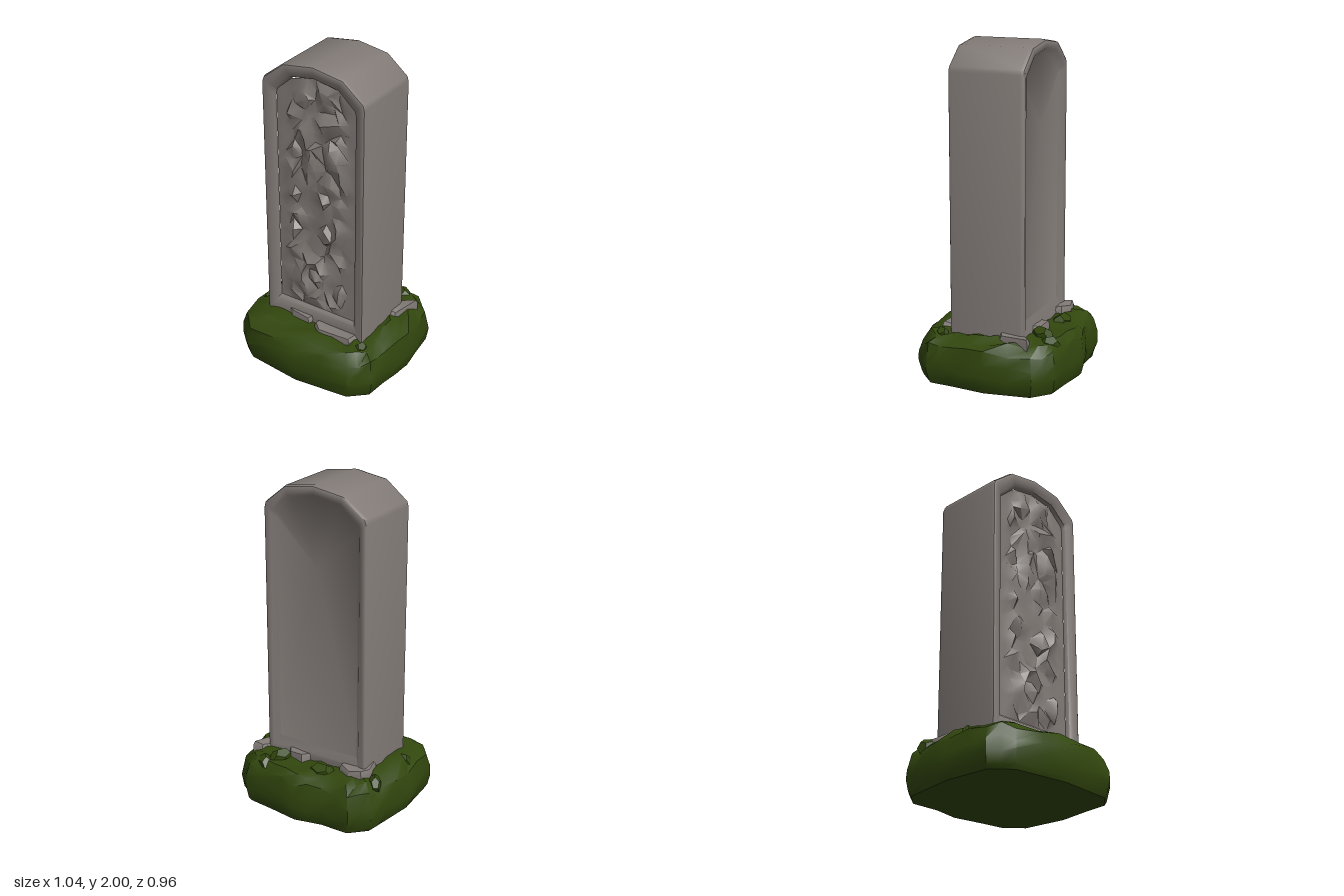
import * as THREE from 'three';
import { toCreasedNormals } from 'three/addons/utils/BufferGeometryUtils.js';

const stone = new THREE.MeshStandardMaterial({ color: 0x827b77 });
stone.name = 'weathered stone';
const moss = new THREE.MeshStandardMaterial({ color: 0x32470e });
moss.name = 'dark moss';

// Small seeded random, -1..1
function seeded(seed) {
  return () => {
    seed = (seed * 16807) % 2147483647;
    return (seed / 2147483647) * 2 - 1;
  };
}

function finish(points, index, crease) {
  const geo = new THREE.BufferGeometry();
  geo.setAttribute('position', new THREE.Float32BufferAttribute(points.flat(), 3));
  geo.setIndex(index);
  return toCreasedNormals(geo, crease);
}

// Skin a list of equal-length rings, ordered from the near end to the far end
function loft(rings, crease, capStart, capEnd) {
  const n = rings[0].length;
  const points = rings.flat();
  const index = [];
  for (let r = 0; r < rings.length - 1; r++) {
    for (let i = 0; i < n; i++) {
      const a = r * n + i, b = r * n + (i + 1) % n;
      index.push(a, a + n, b, b, a + n, b + n);
    }
  }
  const cap = (r, flip) => {
    const c = points.length;
    points.push([0, 1, 2].map(k => rings[r].reduce((s, p) => s + p[k], 0) / n));
    for (let i = 0; i < n; i++) {
      const a = r * n + i, b = r * n + (i + 1) % n;
      index.push(c, flip ? b : a, flip ? a : b);
    }
  };
  if (capStart) cap(0, false);
  if (capEnd) cap(rings.length - 1, true);
  return finish(points, index, crease);
}

// Arched outline, narrowed by t toward the sunken panel (t = 1)
const arch = [[-0.34, 1.86], [-0.2, 1.97], [0, 2], [0.2, 1.97], [0.335, 1.86]];
const outline = [[-0.35, 0.25], [0.343, 0.25], [0.343, 1.83], ...arch.slice().reverse(), [-0.35, 1.83]];
const inset = ([x, y], t) => [
  THREE.MathUtils.lerp(x, x * 0.78, t),
  THREE.MathUtils.lerp(y, 0.39 + (y - 0.25) * 0.87, t),
];

function slabGeometry() {
  const steps = [[1, 0.2], [0.88, 0.222], [0.55, 0.232], [0.2, 0.24], [0.07, 0.235], [0, 0.215],
    [0, -0.2], [0.07, -0.222], [0.2, -0.228], [0.6, -0.222], [0.95, -0.195]];
  const rings = steps.map(([t, z]) => outline.map(p => [...inset(p, t), z]));
  return loft(rings, 0.8, false, true);
}

// Height of the panel's arched top at a given x
function panelTop(x) {
  const pts = arch.map(p => inset(p, 1));
  for (let i = 0; i < pts.length - 1; i++) {
    const [a, b] = [pts[i], pts[i + 1]];
    if (x <= b[0]) return THREE.MathUtils.mapLinear(x, a[0], b[0], a[1], b[1]);
  }
  return pts[4][1];
}

// Broken carving: a jittered grid with raised and sunken pieces
function carvingGeometry() {
  const rnd = seeded(4711), cols = 10, rows = 24;
  const points = [], index = [];
  for (let j = 0; j <= rows; j++) {
    for (let i = 0; i <= cols; i++) {
      const rim = i === 0 || j === 0 || i === cols || j === rows;
      const jx = rnd() * 0.018, jy = rnd() * 0.02, lift = rnd();
      const x = -0.272 + 0.539 * i / cols + (rim ? 0 : jx);
      const top = panelTop(x);
      const y = 0.39 + (top - 0.39) * j / rows + (rim ? 0 : jy);
      const carved = !rim && i > 1 && i < cols - 1;
      const swell = Math.sin(y * 13 + x * 9) * 0.008;
      points.push([x, y, 0.2 + (carved ? swell + (lift > 0.15 ? 0.03 : lift * 0.012) : 0)]);
    }
  }
  for (let j = 0; j < rows; j++) {
    for (let i = 0; i < cols; i++) {
      const a = j * (cols + 1) + i, b = a + 1, c = a + cols + 1, d = c + 1;
      if ((i * 3 + j * 5) % 4 < 2) index.push(a, b, d, a, d, c);
      else index.push(a, b, c, b, d, c);
    }
  }
  return finish(points, index, 0.75);
}

// Lumpy moss mound, from its top down to the ground
function moundGeometry() {
  const rnd = seeded(97);
  const plan = [[-0.52, 0.04], [-0.49, 0.33], [-0.37, 0.44], [0, 0.48], [0.37, 0.44], [0.48, 0.34],
    [0.49, 0.2], [0.52, -0.04], [0.48, -0.33], [0.37, -0.43], [0.2, -0.45], [0, -0.48],
    [-0.18, -0.44], [-0.37, -0.44], [-0.47, -0.34], [-0.49, -0.2]];
  const edge = [];
  plan.forEach((p, i) => {
    const q = plan[(i + 1) % plan.length];
    edge.push(p, [(p[0] + q[0]) / 2, (p[1] + q[1]) / 2]);
  });
  // scale, height, sideways jitter, vertical jitter
  const levels = [[0.6, 0.3, 0, 0.012], [0.74, 0.3, 0.015, 0.02], [0.86, 0.285, 0.02, 0.02],
    [0.955, 0.24, 0.012, 0.022], [0.985, 0.17, 0.012, 0.02], [0.998, 0.1, 0, 0.015],
    [0.965, 0.025, 0.01, 0.01], [0.94, 0, 0, 0]];
  const rings = levels.map(([s, y, side, up]) => edge.map(([x, z]) => {
    const k = s + rnd() * side;
    return [x * k, y + rnd() * up, z * k];
  }));
  return loft(rings, 0.65, true, true);
}

// Irregular chip with a sloping top; corners as [x, z] running from +z toward +x
function chipGeometry(corners, high) {
  const cx = corners.reduce((s, p) => s + p[0], 0) / corners.length;
  const cz = corners.reduce((s, p) => s + p[1], 0) / corners.length;
  const ring = (s, y, tilt) => corners.map(([x, z], i) =>
    [cx + (x - cx) * s, y + (i % 2 ? tilt : -tilt), cz + (z - cz) * s]);
  return loft([ring(0.9, high, 0.006), ring(1, high - 0.02, 0.004), ring(1, 0.2, 0)], 0.5, true, true);
}

export function createModel() {
  const model = new THREE.Group();
  model.name = 'mossyStele';
  const add = (name, geo, mat) => {
    const mesh = new THREE.Mesh(geo, mat);
    mesh.name = name;
    model.add(mesh);
    return mesh;
  };

  add('archedSlab', slabGeometry(), stone);
  add('frontCarving', carvingGeometry(), stone);
  add('mossMound', moundGeometry(), moss);

  // Stone footing showing through the moss
  const chips = [
    [[[0.01, 0.2], [0.02, 0.27], [0.07, 0.31], [0.3, 0.31], [0.31, 0.2]], 0.325],
    [[[-0.24, 0.2], [-0.15, 0.255], [-0.03, 0.26], [0, 0.2]], 0.335],
    [[[0.3, -0.2], [0.345, -0.08], [0.37, -0.09], [0.42, -0.28], [0.36, -0.27]], 0.325],
    [[[-0.38, -0.2], [-0.36, -0.11], [-0.19, -0.2], [-0.2, -0.26], [-0.28, -0.295], [-0.36, -0.28]], 0.34],
    [[[0.02, -0.2], [0.2, -0.2], [0.16, -0.26], [0.06, -0.28]], 0.335],
  ];
  chips.forEach(([corners, high], i) => add('footingStone' + (i + 1), chipGeometry(corners, high), stone));

  // Raised moss clumps along the back edge and near the corners
  const clumps = [[-0.1, -0.3, 0.09, 0.33], [0.2, -0.29, 0.08, 0.34], [-0.42, -0.22, 0.06, 0.31],
    [-0.41, 0.12, 0.06, 0.3], [0.36, 0.28, 0.05, 0.315], [0.27, -0.36, 0.07, 0.31]];
  clumps.forEach(([x, z, r, top], i) => {
    const clump = add('mossClump' + (i + 1), new THREE.DodecahedronGeometry(1), moss);
    clump.scale.set(r, 0.06, r * 0.65);
    clump.position.set(x, top - 0.05, z);
    clump.rotation.y = i * 1.1;
  });
  return model;
}
